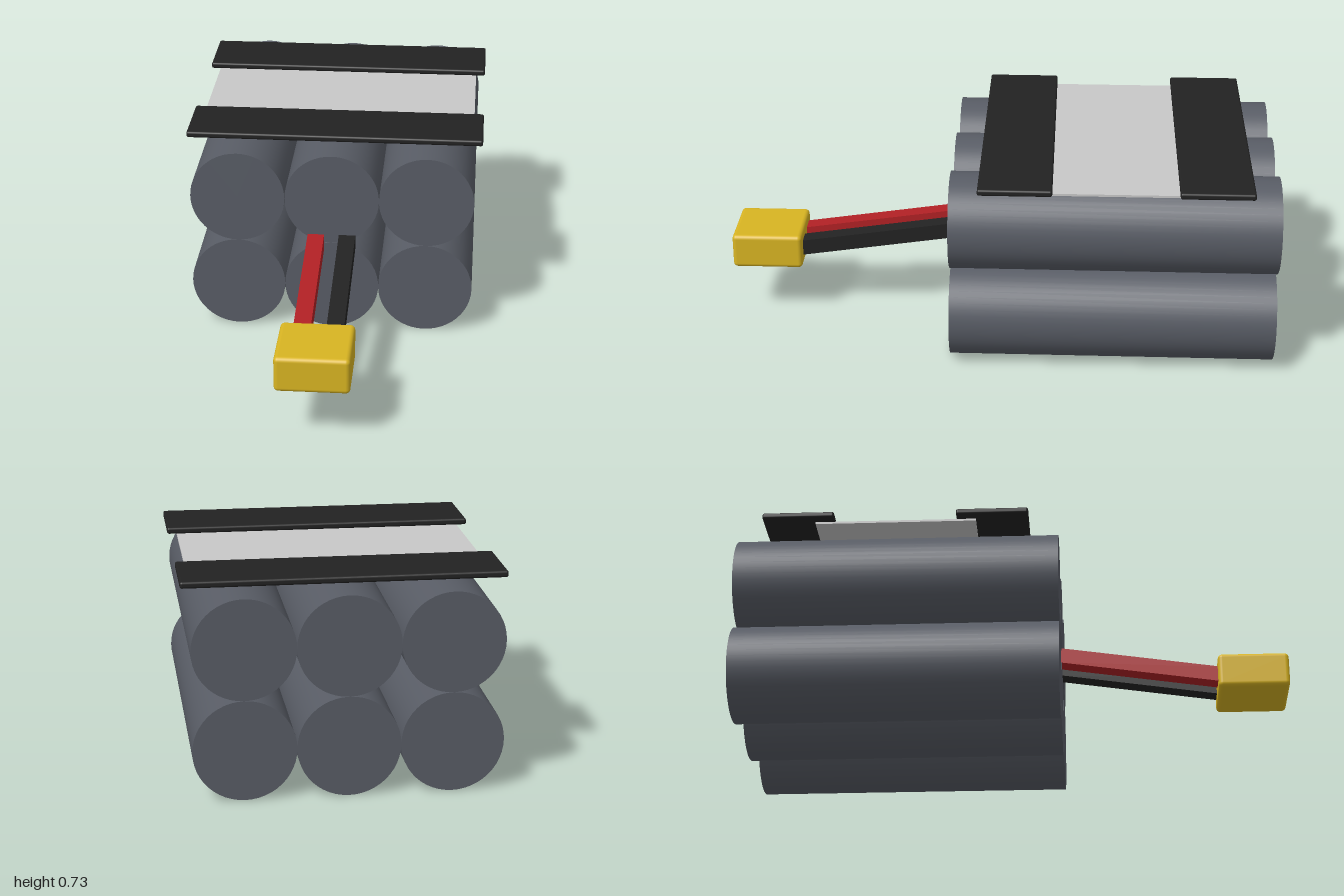
import * as THREE from 'three';
import { RoundedBoxGeometry } from 'three/addons/geometries/RoundedBoxGeometry.js';

const material = (name, color) => {
  const m = new THREE.MeshStandardMaterial({ color });
  m.name = name;
  return m;
};

export function createModel() {
  const group = new THREE.Group();
  const slate = material('slate', 0x585c65);
  const black = material('black', 0x222222);
  const red = material('red', 0xb02024);
  const yellow = material('yellow', 0xd8b422);
  const grey = material('light grey', 0xc8c8c8);

  const add = (name, geometry, mat, x, y, z) => {
    const mesh = new THREE.Mesh(geometry, mat);
    mesh.name = name;
    mesh.position.set(x, y, z);
    group.add(mesh);
    return mesh;
  };

  // Two rows of three cells lying along z
  const r = 0.1735;
  const cell = new THREE.CylinderGeometry(r, r, 1.165, 48).rotateX(Math.PI / 2);
  for (const row of [0, 1]) {
    for (const col of [-1, 0, 1]) {
      add('cell', cell, slate, col * 2 * r, r + row * 2 * r, -0.4175);
    }
  }

  // Label sheet on top, held by two straps
  add('labelSheet', new THREE.BoxGeometry(1.02, 0.008, 0.58), grey, 0, 0.7, -0.42);
  const strap = new RoundedBoxGeometry(1.09, 0.023, 0.26, 3, 0.008);
  for (const z of [-0.07, -0.77]) add('strap', strap, black, 0, 0.7165, z);

  // Pair of square leads sloping down to the connector
  const rear = new THREE.Vector3(0, 0.352, 0.155);
  const front = new THREE.Vector3(0, 0.262, 0.76);
  const lead = new THREE.BoxGeometry(0.061, 0.058, rear.distanceTo(front));
  const mid = rear.clone().add(front).multiplyScalar(0.5);
  for (const [name, mat, x] of [['redLead', red, -0.058], ['blackLead', black, 0.057]]) {
    const mesh = add(name, lead, mat, x, mid.y, mid.z);
    mesh.rotation.x = Math.atan2(rear.y - front.y, front.z - rear.z);
  }

  // Connector block
  add('connector', new RoundedBoxGeometry(0.258, 0.13, 0.26, 4, 0.016), yellow, 0, 0.263, 0.87);

  return group;
}
